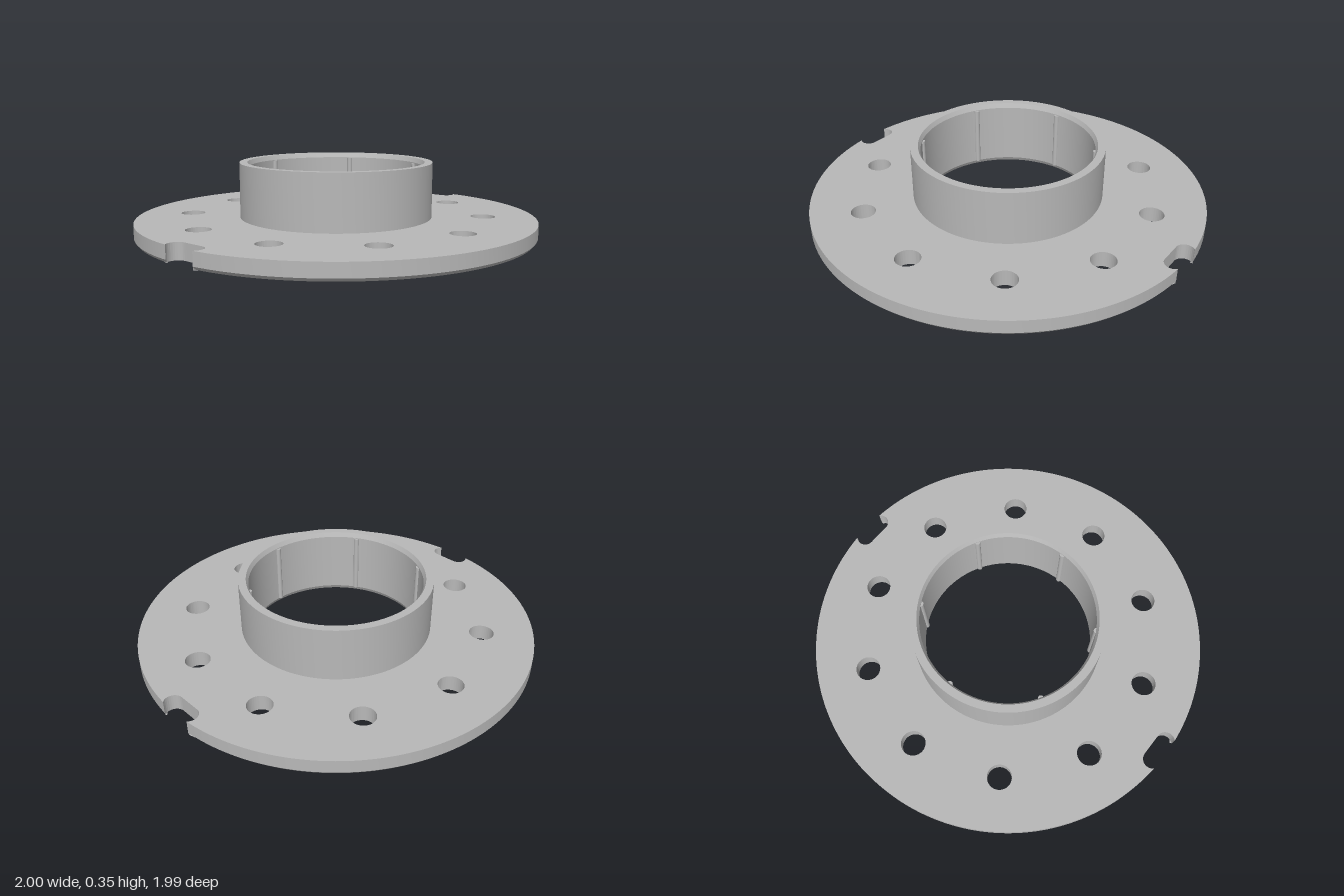
import * as THREE from 'three';
import { toCreasedNormals } from 'three/addons/utils/BufferGeometryUtils.js';

const FLANGE_H = 0.08, CHAMFER_H = 0.015, CHAMFER_R = 0.988;

// Round outline with a rounded slot cut into the rim at two opposite sides
function flangeShape() {
  const shape = new THREE.Shape();
  const cx = 0.058, cy = 0.963, r = 0.045, lip = Math.asin(0.089);
  const open = Math.atan2(Math.cos(lip) - cy, Math.sin(lip) - cx);
  for (const turn of [0, Math.PI]) {
    const s = turn ? -1 : 1;
    shape.absarc(0, 0, 1, turn - Math.PI / 2 + lip, turn + Math.PI / 2 - lip, false);
    shape.absarc(s * cx, s * cy, r, turn + open, turn - Math.PI / 2, true);
    shape.absarc(-s * cx, s * cy, r, turn - Math.PI / 2, turn - Math.PI - open, true);
  }
  shape.closePath();

  // Centre opening, filled by the hub wall
  const circle = (x, y, radius) => new THREE.Path().absarc(x, y, radius, 0, Math.PI * 2, true);
  shape.holes.push(circle(0, 0, 0.46));
  // Ring of ten bolt holes
  for (let i = 0; i < 10; i++) {
    const a = (i * Math.PI) / 5;
    shape.holes.push(circle(0.742 * Math.cos(a), 0.742 * Math.sin(a), 0.061));
  }
  return shape;
}

function flangeGeometry() {
  const geo = new THREE.ExtrudeGeometry(flangeShape(), {
    depth: FLANGE_H, steps: 2, bevelEnabled: false, curveSegments: 64,
  });
  geo.rotateX(-Math.PI / 2);
  // Lower the middle loop and pull in the bottom rim to form a chamfer
  const p = geo.attributes.position;
  for (let i = 0; i < p.count; i++) {
    const y = p.getY(i);
    if (Math.abs(y - FLANGE_H / 2) < 0.001) p.setY(i, CHAMFER_H);
    if (y < 0.001 && Math.hypot(p.getX(i), p.getZ(i)) > 0.999) {
      p.setX(i, p.getX(i) * CHAMFER_R);
      p.setZ(i, p.getZ(i) * CHAMFER_R);
    }
  }
  return toCreasedNormals(geo, 0.4);
}

export function createModel() {
  const model = new THREE.Group();
  model.name = 'flangedCollar';
  const grey = new THREE.MeshStandardMaterial({ color: 0xb8b8b8 });
  grey.name = 'plain grey';

  const add = (name, geometry) => {
    const mesh = new THREE.Mesh(geometry, grey);
    mesh.name = name;
    model.add(mesh);
    return mesh;
  };

  add('flange', flangeGeometry());

  // Hub wall with a bore chamfered at both ends
  const profile = [
    [0.445, 0], [0.46, 0], [0.46, 0.08], [0.485, 0.08], [0.485, 0.355],
    [0.446, 0.355], [0.435, 0.332], [0.435, 0.02], [0.445, 0],
  ].map(([x, y]) => new THREE.Vector2(x, y));
  add('hub', toCreasedNormals(new THREE.LatheGeometry(profile, 128), 0.3));

  // Six slim ribs inside the bore
  for (let i = 0; i < 6; i++) {
    const a = (i * Math.PI) / 3;
    const rib = add('boreRib', new THREE.CylinderGeometry(0.014, 0.014, 0.306, 20));
    rib.position.set(0.437 * Math.cos(a), 0.175, 0.437 * Math.sin(a));
  }
  return model;
}
